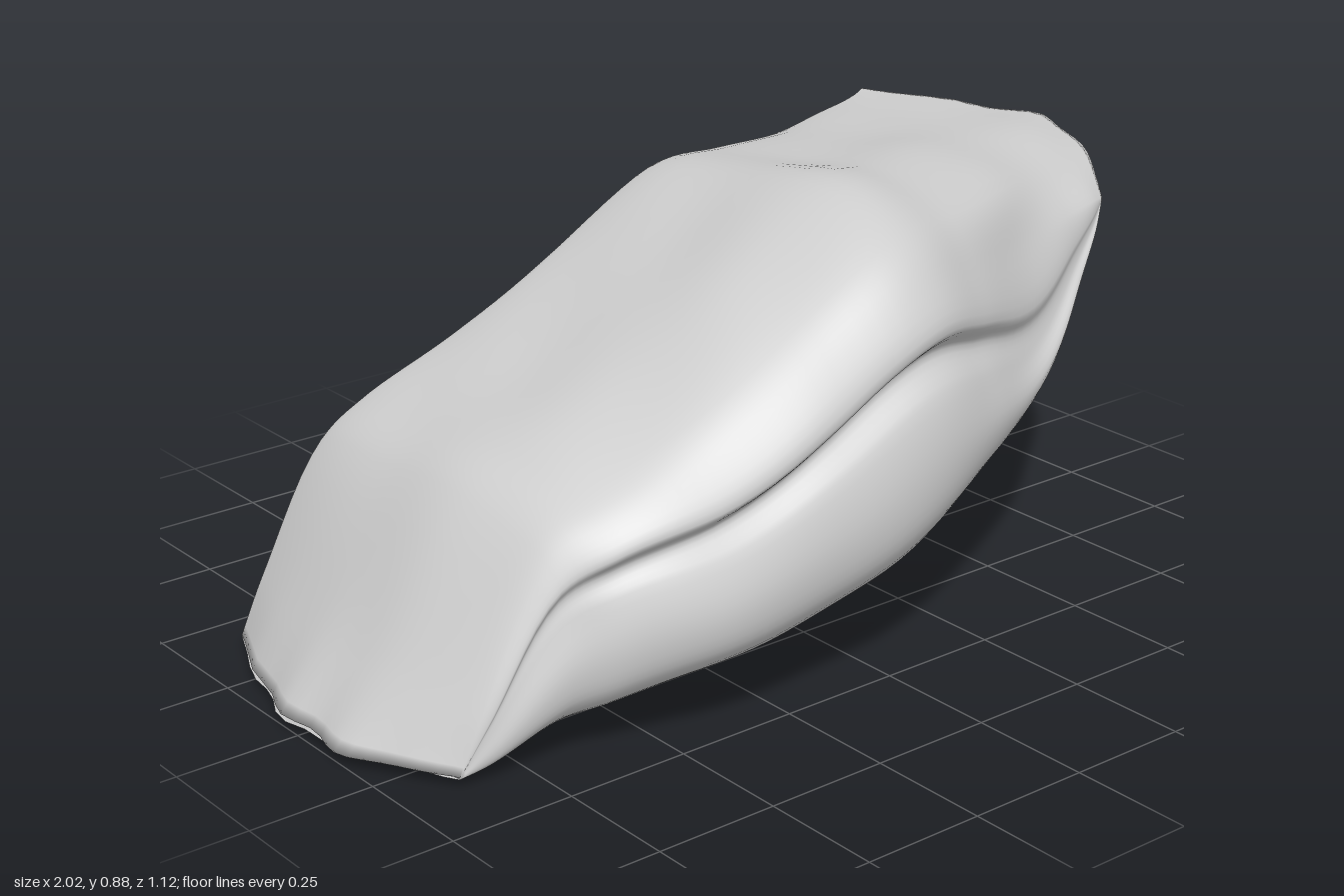
import * as THREE from 'three';

const { lerp, smoothstep } = THREE.MathUtils;

// Stations along the rock: x, top y, bottom y, back z, front z, ledge y, ledge depth
const STATIONS = [
  [-1.00, 0.018, 0.012, -0.39, 0.36, 0.015, 0],
  [-0.90, 0.16, 0.008, -0.39, 0.38, 0.11, 0],
  [-0.71, 0.44, 0.035, -0.395, 0.43, 0.33, 0.005],
  [-0.60, 0.51, 0.055, -0.40, 0.48, 0.385, 0.015],
  [-0.40, 0.60, 0.09, -0.385, 0.54, 0.43, 0.025],
  [-0.15, 0.75, 0.12, -0.37, 0.56, 0.54, 0.035],
  [0.10, 0.875, 0.19, -0.39, 0.55, 0.65, 0.04],
  [0.30, 0.855, 0.25, -0.43, 0.48, 0.61, 0.025],
  [0.54, 0.835, 0.315, -0.48, 0.37, 0.57, 0.005],
  [0.75, 0.805, 0.53, -0.525, 0.28, 0.66, 0],
  [0.90, 0.795, 0.67, -0.55, 0.23, 0.73, 0],
  [1.00, 0.785, 0.779, -0.56, 0.19, 0.782, 0],
];

// How far each thin end is worn back, by depth
const leftInset = (z) => 0.12 * ((z - 0.1) / (z > 0.1 ? 0.26 : 0.49)) ** 2;
const rightInset = (z) => (z > -0.03 ? 0.14 * ((z + 0.03) / 0.22) : 0.14 * ((z + 0.03) / 0.53) ** 2);

// Closed cross-section in the yz plane; the worn ends bow outwards in plan
function section([x, top, bottom, back, front, ledge, depth]) {
  const h = top - bottom;
  const z = (f) => lerp(back, front, f);
  const k = Math.min(1, h / 0.5);
  // The underside is narrower below the higher end
  const tuck = 0.045 * k * smoothstep(x, 0.1, 0.5);
  const points = [
    [back + 0.01 * k + tuck, bottom], [back + tuck * 0.4, bottom + 0.45 * h],
    [back + 0.025 * k, top - 0.15 * h], [back + 0.055 * k + 0.005, top - 0.11 * h],
    [z(0.35), top - 0.05 * h], [z(0.62), top],
    [z(0.83), top - 0.08 * h], [front - 0.08 * k, lerp(top, ledge, 0.55)],
    [front - 0.035 * k, lerp(top, ledge, 0.95)], [front - 0.04 * k - depth, ledge - 0.06 * h],
    [front - 0.03 * k, ledge - 0.15 * h], [front, lerp(bottom, ledge, 0.5)],
    [front - 0.02 * k - tuck * 0.6, lerp(bottom, ledge, 0.25)],
    [front - 0.12 * k - tuck, bottom + 0.035 * h],
    [z(0.62), bottom], [z(0.3), bottom],
  ];
  const ends = Math.abs(x) ** 5;
  return points.map(([pz, py]) => {
    const inset = x < 0 ? leftInset(pz) : rightInset(pz);
    const droop = x > 0 ? 0.09 * ends * smoothstep(pz, -0.05, 0.25) : 0;
    return new THREE.Vector3(x - Math.sign(x) * ends * Math.min(0.16, inset), py - droop, pz);
  });
}

function rockGeometry(rings = 72, sides = 80) {
  const loops = STATIONS.map((s) => {
    const loop = new THREE.CatmullRomCurve3(section(s), true);
    return Array.from({ length: sides }, (_, j) => loop.getPoint(j / sides));
  });
  const positions = [];
  const index = [];
  const grid = Array.from({ length: sides }, (_, j) =>
    new THREE.CatmullRomCurve3(loops.map((l) => l[j])).getPoints(rings));
  for (let i = 0; i <= rings; i++) {
    for (let j = 0; j < sides; j++) {
      const p = grid[j][i];
      // Shallow unevenness, with chips along the two thin ends
      const chip = 0.012 * Math.abs(p.x) ** 16;
      positions.push(
        p.x + chip * Math.sin(p.z * 31),
        p.y + 0.003 * Math.sin(p.x * 17 + p.z * 7) * Math.cos(p.z * 13),
        p.z + 0.003 * Math.sin(p.x * 15 + p.y * 9),
      );
    }
  }
  const at = (i, j) => i * sides + (j % sides);
  for (let i = 0; i < rings; i++) {
    for (let j = 0; j < sides; j++) {
      const a = at(i, j), b = at(i, j + 1), c = at(i + 1, j), d = at(i + 1, j + 1);
      index.push(a, b, c, b, d, c);
    }
  }
  // Close each thin end with a fan around its middle
  for (const i of [0, rings]) {
    const middle = new THREE.Vector3();
    for (let j = 0; j < sides; j++) middle.addScaledVector(grid[j][i], 1 / sides);
    const m = positions.length / 3;
    positions.push(middle.x, middle.y, middle.z);
    for (let j = 0; j < sides; j++) {
      if (i === 0) index.push(m, at(i, j + 1), at(i, j));
      else index.push(m, at(i, j), at(i, j + 1));
    }
  }
  const geometry = new THREE.BufferGeometry();
  geometry.setAttribute('position', new THREE.Float32BufferAttribute(positions, 3));
  geometry.setIndex(index);
  // Centre and stand on the ground
  geometry.computeBoundingBox();
  const { min, max } = geometry.boundingBox;
  geometry.translate(-(min.x + max.x) / 2, -min.y, -(min.z + max.z) / 2);
  geometry.computeVertexNormals();
  return geometry;
}

export function createModel() {
  const stone = new THREE.MeshStandardMaterial({ color: 0xcccccc });
  stone.name = 'stone grey';
  const rock = new THREE.Mesh(rockGeometry(), stone);
  rock.name = 'rock';
  const group = new THREE.Group();
  group.name = 'slabRock';
  group.add(rock);
  return group;
}
